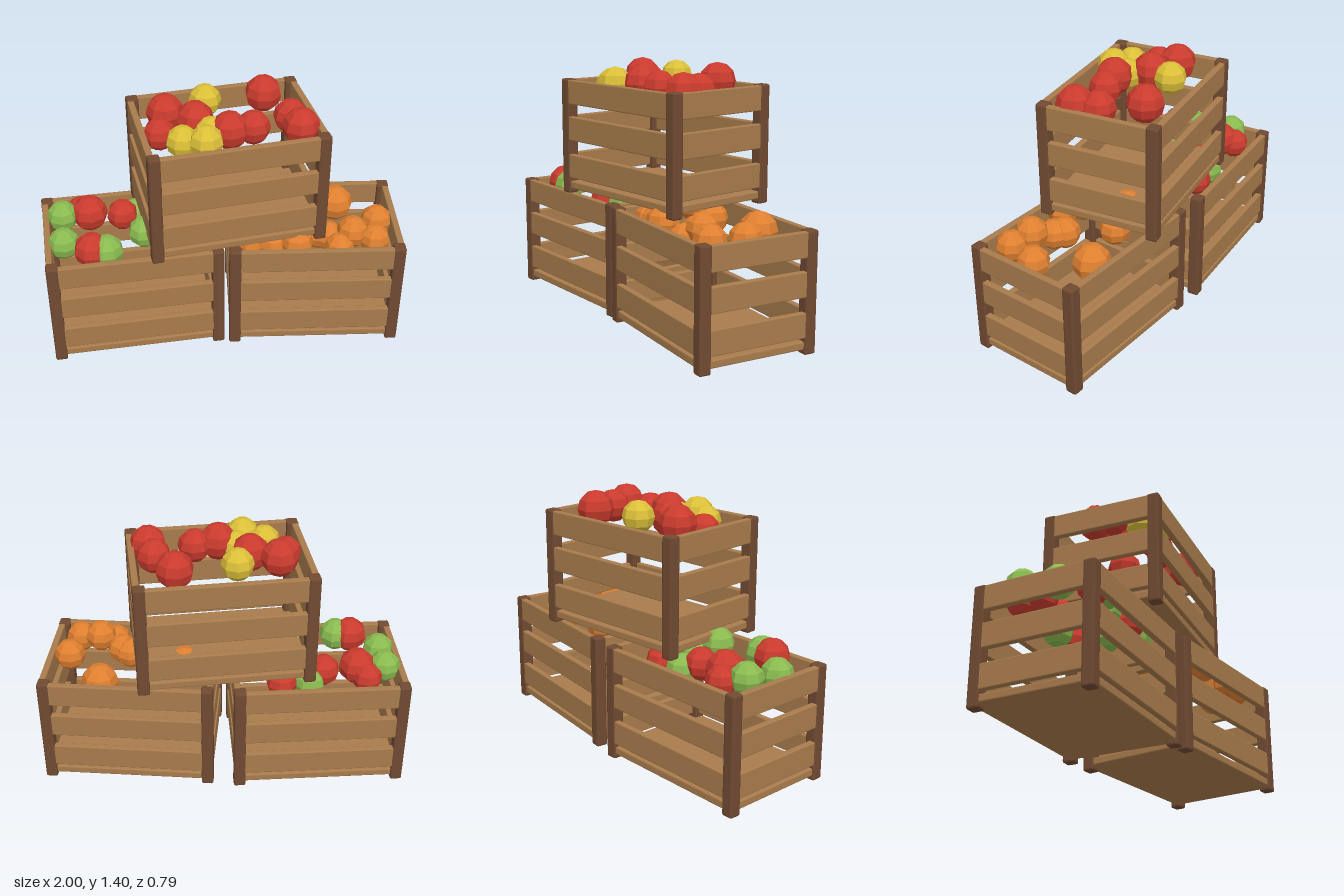
import * as THREE from 'three';
import { RoundedBoxGeometry } from 'three/addons/geometries/RoundedBoxGeometry.js';

const mat = (name, color) => {
  const m = new THREE.MeshStandardMaterial({ color, flatShading: true });
  m.name = name;
  return m;
};

export function createModel() {
  const wood = mat('light wood', 0xa87b4c);
  const darkWood = mat('dark wood', 0x704a32);
  const red = mat('red fruit', 0xcb3b2e);
  const green = mat('green fruit', 0x8abb50);
  const yellow = mat('yellow fruit', 0xdcc038);
  const orange = mat('orange fruit', 0xe08030);

  const model = new THREE.Group();
  model.name = 'fruitCrates';

  // Spacing of the post centres, and the post size
  const W = 0.88, D = 0.605, H = 0.637, POST = 0.065;

  // Chamfered board or post
  function board(parent, name, material, size, pos) {
    const bevel = Math.min(...size) * 0.15;
    const mesh = new THREE.Mesh(new RoundedBoxGeometry(...size, 1, bevel), material);
    mesh.name = name;
    mesh.position.set(...pos);
    parent.add(mesh);
  }

  function crate(name, x, y, z, turn) {
    const g = new THREE.Group();
    g.name = name;
    g.position.set(x, y, z);
    g.rotation.y = turn;
    // Solid floor panel
    board(g, 'floor', wood, [W + 0.045, 0.042, D + 0.045], [0, 0.048, 0]);
    for (const sx of [-1, 1]) {
      for (const sz of [-1, 1]) {
        board(g, 'cornerPost', darkWood, [POST, H, POST], [sx * W / 2, H / 2, sz * D / 2]);
      }
    }
    // Three slats on each side, set between the posts
    const t = 0.035, off = 0.012;
    for (const h of [0.155, 0.365, 0.566]) {
      for (const s of [-1, 1]) {
        board(g, 'longSlat', wood, [W - 0.05, 0.132, t], [0, h, s * (D / 2 + off)]);
        board(g, 'endSlat', wood, [t, 0.132, D - 0.05], [s * (W / 2 + off), h, 0]);
      }
    }
    model.add(g);
  }

  crate('rightCrate', -0.515, 0, -0.015, 0.055);
  crate('leftCrate', 0.497, 0, 0.016, -0.083);
  crate('topCrate', 0.015, 0.653, -0.014, 0.125);

  // Fruit: each entry is x, y, z, radius
  function fruit(name, material, list) {
    const g = new THREE.Group();
    g.name = name;
    list.forEach(([x, y, z, r], i) => {
      const mesh = new THREE.Mesh(new THREE.SphereGeometry(r, 8, 6), material);
      mesh.name = 'fruit';
      mesh.position.set(x, y, z);
      mesh.rotation.y = i * 0.9;
      g.add(mesh);
    });
    model.add(g);
  }

  // Top crate
  fruit('topRedFruit', red, [
    [-0.295, 1.295, -0.08, 0.1], [-0.335, 1.25, 0.06, 0.085], [-0.145, 1.285, -0.005, 0.1],
    [0.24, 1.3, -0.21, 0.1], [0.355, 1.27, -0.01, 0.092], [0.39, 1.275, 0.11, 0.1],
    [0.145, 1.275, 0.09, 0.09], [0.02, 1.285, 0.12, 0.1],
  ]);
  fruit('topYellowFruit', yellow, [
    [-0.077, 1.305, -0.165, 0.087], [-0.075, 1.265, 0.1, 0.085],
    [-0.225, 1.26, 0.165, 0.087], [-0.11, 1.28, 0.21, 0.09],
  ]);

  // Lower right crate
  fruit('lowerRedFruit', red, [
    [-0.78, 0.62, -0.2, 0.082], [-0.73, 0.65, -0.13, 0.1], [-0.55, 0.625, -0.13, 0.087],
    [-0.725, 0.64, 0.195, 0.097], [-0.33, 0.6, 0.15, 0.085], [-0.32, 0.59, -0.2, 0.085],
  ]);
  fruit('lowerGreenFruit', green, [
    [-0.88, 0.645, -0.125, 0.087], [-0.875, 0.615, 0.085, 0.087], [-0.47, 0.585, -0.19, 0.085],
    [-0.44, 0.655, 0.085, 0.087], [-0.645, 0.635, 0.205, 0.09], [-0.19, 0.605, 0.1, 0.1],
    [-0.33, 0.57, 0.03, 0.09],
  ]);

  // Lower left crate
  fruit('oranges', orange, [
    [0.665, 0.58, -0.165, 0.102], [0.85, 0.605, 0.06, 0.087], [0.8, 0.61, 0.235, 0.085],
    [0.685, 0.64, 0.195, 0.088], [0.605, 0.58, 0.25, 0.082], [0.565, 0.585, 0.145, 0.082],
    [0.515, 0.58, 0.11, 0.085], [0.375, 0.615, 0.225, 0.09], [0.207, 0.645, -0.08, 0.09],
    [0.14, 0.58, 0.15, 0.085], [0.36, 0.59, -0.1, 0.085], [0.25, 0.59, 0.18, 0.085],
  ]);

  return model;
}
